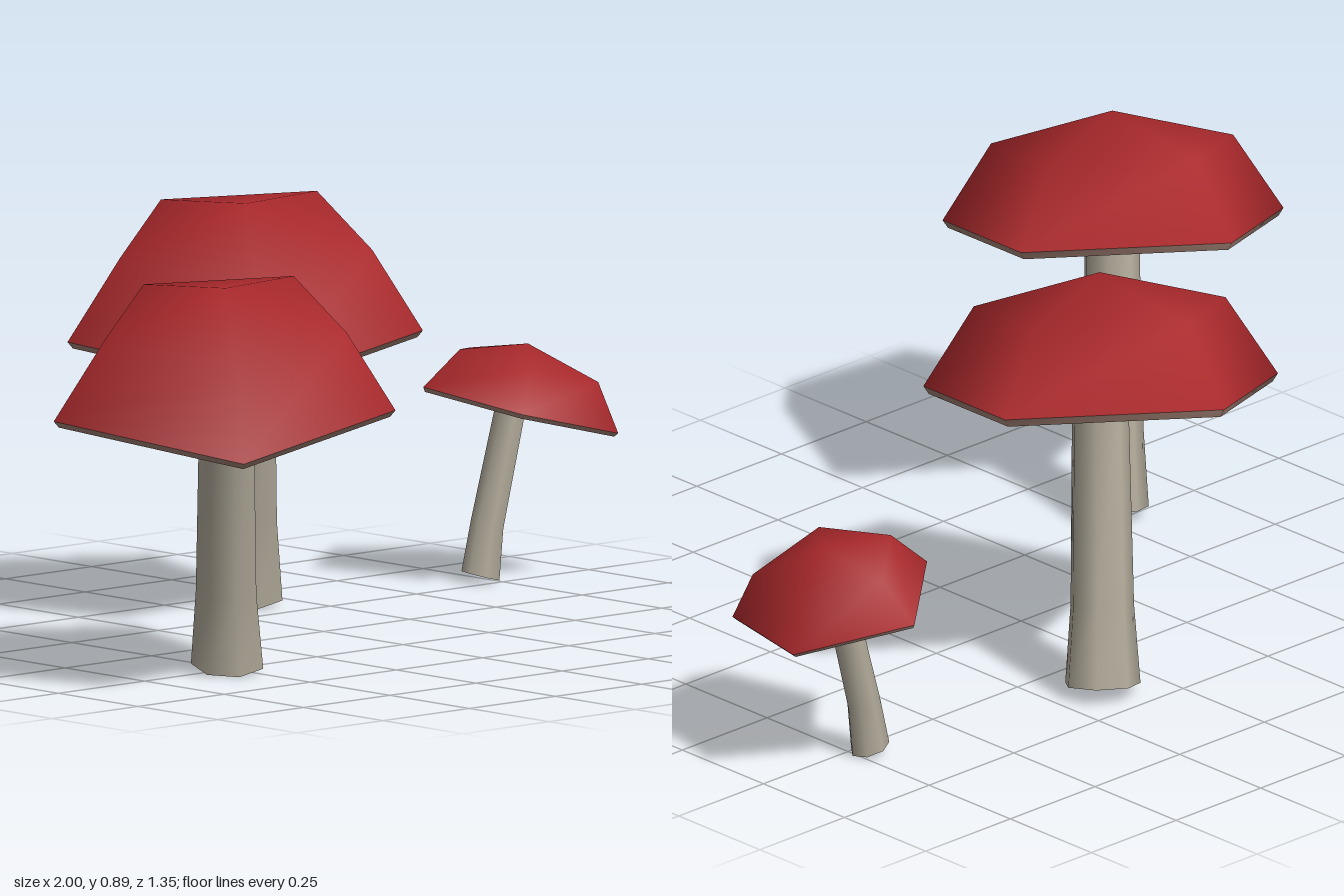
import * as THREE from 'three';
import { mergeVertices } from 'three/addons/utils/BufferGeometryUtils.js';

// Skin a stack of rings (clockwise from above, listed bottom to top) with smooth normals
function loft(rings) {
  const pos = [];
  for (let k = 0; k + 1 < rings.length; k++) {
    const a = rings[k], b = rings[k + 1], n = a.length;
    for (let j = 0; j < n; j++) {
      const i = (j + 1) % n;
      pos.push(...a[j], ...b[j], ...a[i], ...a[i], ...b[j], ...b[i]);
    }
  }
  const raw = new THREE.BufferGeometry();
  raw.setAttribute('position', new THREE.Float32BufferAttribute(pos, 3));
  const geometry = mergeVertices(raw, 1e-5);
  geometry.computeVertexNormals();
  return geometry;
}

const SIDES = 7;
const circle = Array.from({ length: SIDES }, (_, j) => {
  const t = (j / SIDES) * Math.PI * 2;
  return [Math.sin(t), -Math.cos(t)];
});

// Pentagonal cap outlines as [x, z] offsets: back, left, front left, front right, right
const broadRim = [[0.002, -0.365], [0.384, -0.115], [0.214, 0.305], [-0.226, 0.305], [-0.376, -0.13]];
const smallRim = [[0.003, -0.237], [0.198, -0.067], [0.138, 0.183], [-0.142, 0.188], [-0.197, -0.067]];

const mushrooms = [
  { name: 'rightMushroom', center: [-0.624, 0.604, 0.365], slope: [0.16, -0.19], rim: broadRim, scale: 1, height: 1,
    stem: [[0.094, -0.09, 0.018, 0.08], [0.072, -0.07, 0.18, 0.067], [0.004, 0.005, 0.615, 0.06]] },
  { name: 'middleMushroom', center: [0.053, 0.63, -0.304], slope: [0.16, -0.19], rim: broadRim, scale: 1.04, height: 1.04,
    stem: [[0.088, -0.092, 0.019, 0.083], [0.07, -0.072, 0.19, 0.07], [0.004, 0.003, 0.64, 0.062]] },
  { name: 'leftMushroom', center: [0.797, 0.36, -0.273], slope: [-0.25, -0.09], rim: smallRim, scale: 1, height: 0.57,
    stem: [[-0.077, -0.012, 0.011, 0.042], [-0.06, -0.01, 0.12, 0.036], [-0.002, 0, 0.365, 0.033]] },
];

export function createModel() {
  const red = new THREE.MeshStandardMaterial({ name: 'capRed', color: 0xa8282b });
  const beige = new THREE.MeshStandardMaterial({ name: 'stemBeige', color: 0xb0a999 });
  const pink = new THREE.MeshStandardMaterial({ name: 'rimPink', color: 0xa58477 });
  const model = new THREE.Group();
  model.name = 'mushrooms';

  for (const m of mushrooms) {
    const group = new THREE.Group();
    group.name = m.name;
    const [cx, cy, cz] = m.center, [sx, sz] = m.slope;
    const normal = new THREE.Vector3(-sx, 1, -sz).normalize();
    const add = (name, rings, material) => {
      const mesh = new THREE.Mesh(loft(rings), material);
      mesh.name = name;
      group.add(mesh);
    };

    // Cap ring, shrunk by s and lifted by h along the tilted axis
    const capRing = (s, h) => m.rim.map(([x, z]) => {
      const dx = x * s * m.scale, dz = z * s * m.scale, up = h * m.height;
      return [cx + dx + normal.x * up, cy + sx * dx + sz * dz + normal.y * up, cz + dz + normal.z * up];
    });
    add('cap', [capRing(1, 0.016), capRing(0.71, 0.184), capRing(0, 0.26)], red);
    add('capRim', [capRing(0.97, 0), capRing(1, 0.016)], pink);
    add('capUnderside', [capRing(0, 0), capRing(0.97, 0)], beige);

    // Leaning stem, its rings parallel to the cap
    const stemRing = ([x, z, y, r]) => circle.map(([u, v]) =>
      [cx + x + u * r, y + (sx * u + sz * v) * r, cz + z + v * r]);
    add('stem', m.stem.map(stemRing), beige);
    const [bx, bz, by] = m.stem[0];
    add('stemBase', [stemRing([bx, bz, by, 0]), stemRing(m.stem[0])], beige);
    model.add(group);
  }
  return model;
}
